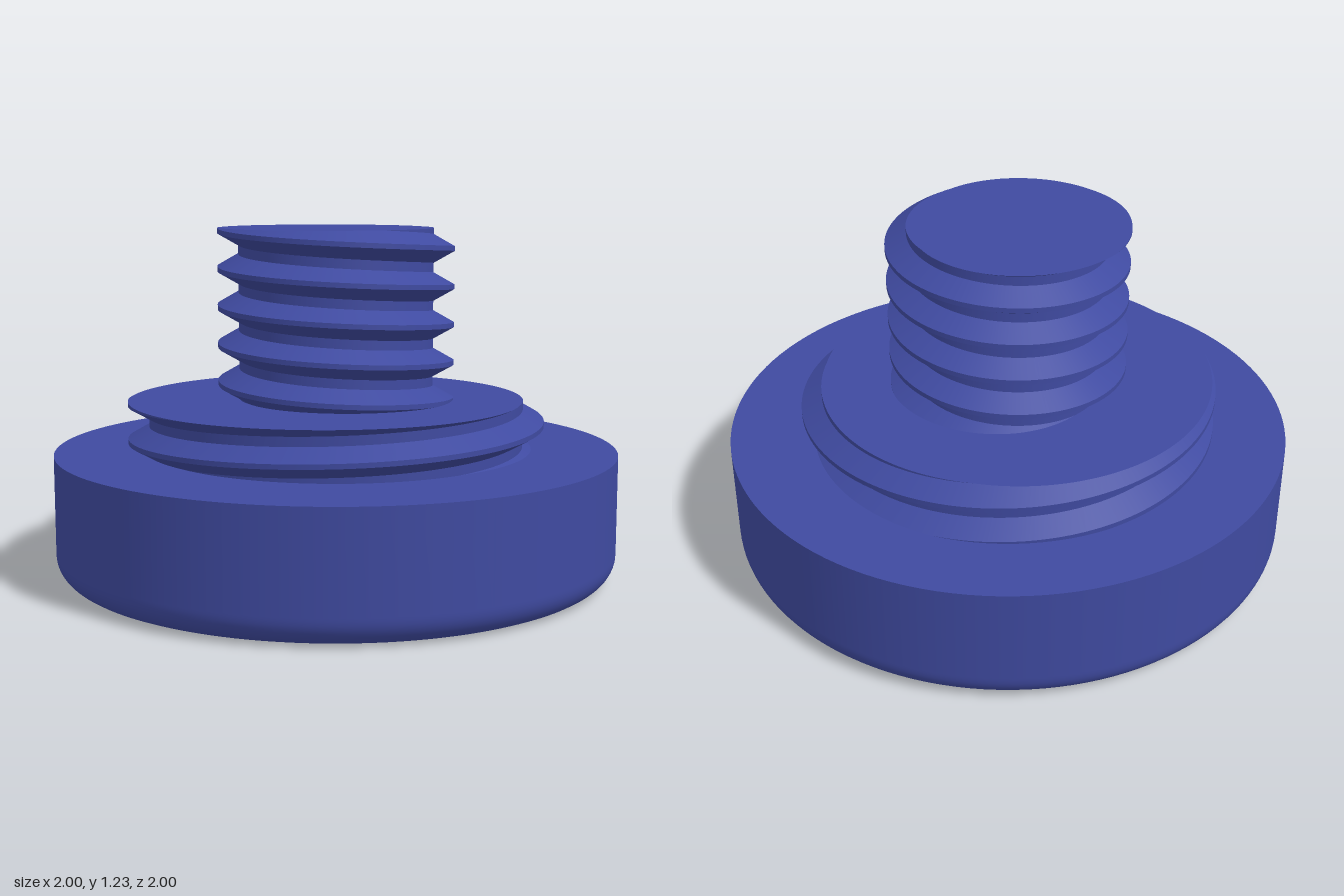
import * as THREE from 'three';

const material = new THREE.MeshStandardMaterial({ color: 0x3f4aa0 });
const SEGMENTS = 192, PITCH = 0.134, CREST = 0.017, ROOT = 0.033, DEPTH = 0.074;
const FLANK = (PITCH - CREST - ROOT) / 2;

// Solid threaded cylinder from y0 to y1: crestY is the crest height at +x,
// hand is +1 if the helix rises from +x towards +z, -1 for the other way.
function threadedPart(name, crestRadius, y0, y1, crestY, hand) {
  const positions = [], index = [];
  const radiusAt = (y, centre) => {
    const t = (y - centre) / PITCH;
    const d = Math.abs(t - Math.round(t)) * PITCH;
    return crestRadius - DEPTH * THREE.MathUtils.clamp((d - CREST / 2) / FLANK, 0, 1);
  };
  const push = (angle, y) => {
    const r = radiusAt(y, crestY + hand * PITCH * angle / (2 * Math.PI));
    positions.push(r * Math.cos(angle), y, r * Math.sin(angle));
  };

  // Corners of the profile in one pitch: crest, upper flank, root, lower flank
  const corners = [-CREST / 2, CREST / 2, CREST / 2 + FLANK, CREST / 2 + FLANK + ROOT, PITCH - CREST / 2];
  const turns = Math.ceil((y1 - y0) / PITCH) + 2;
  for (let k = -turns; k <= turns; k++) {
    for (let c = 0; c < 4; c++) {
      // One helical strip with its own vertices, cut off flat at both ends
      const start = positions.length / 3;
      for (let j = 0; j <= SEGMENTS; j++) {
        const angle = j / SEGMENTS * Math.PI * 2;
        const base = crestY + k * PITCH + hand * PITCH * j / SEGMENTS;
        const low = THREE.MathUtils.clamp(base + corners[c], y0, y1);
        const high = THREE.MathUtils.clamp(base + corners[c + 1], y0, y1);
        push(angle, low);
        push(angle, high);
        if (j < SEGMENTS) {
          const a = start + j * 2;
          index.push(a, a + 1, a + 2, a + 1, a + 3, a + 2);
        }
      }
    }
  }

  // Flat end faces that follow the cut thread
  for (const y of [y0, y1]) {
    const centre = positions.length / 3;
    positions.push(0, y, 0);
    for (let j = 0; j <= SEGMENTS; j++) push(j / SEGMENTS * Math.PI * 2, y);
    for (let j = 1; j <= SEGMENTS; j++) {
      if (y === y1) index.push(centre, centre + j + 1, centre + j);
      else index.push(centre, centre + j, centre + j + 1);
    }
  }

  // Drop triangles flattened by the cut
  const p = i => new THREE.Vector3().fromArray(positions, i * 3);
  const kept = [];
  for (let i = 0; i < index.length; i += 3) {
    const [a, b, c] = index.slice(i, i + 3);
    const area = p(b).sub(p(a)).cross(p(c).sub(p(a))).length();
    if (area > 1e-9) kept.push(a, b, c);
  }
  const geometry = new THREE.BufferGeometry();
  geometry.setAttribute('position', new THREE.Float32BufferAttribute(positions, 3));
  geometry.setIndex(kept);
  geometry.computeVertexNormals();
  const mesh = new THREE.Mesh(geometry, material);
  mesh.name = name;
  return mesh;
}

// Wide round base with a rounded lower edge and a sharp upper edge
function baseDisc() {
  const group = new THREE.Group();
  group.name = 'baseDisc';
  const fillet = 0.09, height = 0.44;
  const profile = [new THREE.Vector2(0, 0), new THREE.Vector2(0.9, 0)];
  for (let i = 0; i <= 10; i++) {
    const a = i / 10 * Math.PI / 2;
    profile.push(new THREE.Vector2(1 - fillet + fillet * Math.sin(a), fillet - fillet * Math.cos(a)));
  }
  profile.push(new THREE.Vector2(1, 0.1), new THREE.Vector2(1, height));
  const body = new THREE.Mesh(new THREE.LatheGeometry(profile, 128), material);
  body.name = 'baseBody';
  const top = new THREE.Mesh(new THREE.CircleGeometry(1, 128).rotateX(-Math.PI / 2), material);
  top.position.y = height;
  top.name = 'baseTop';
  group.add(body, top);
  return group;
}

export function createModel() {
  const model = new THREE.Group();
  model.name = 'threadAdapter';
  model.add(
    baseDisc(),
    threadedPart('threadedCollar', 0.74, 0.44, 0.62, 0.54, -1),
    threadedPart('threadedStud', 0.419, 0.62, 1.225, 1.154, 1)
  );
  return model;
}
